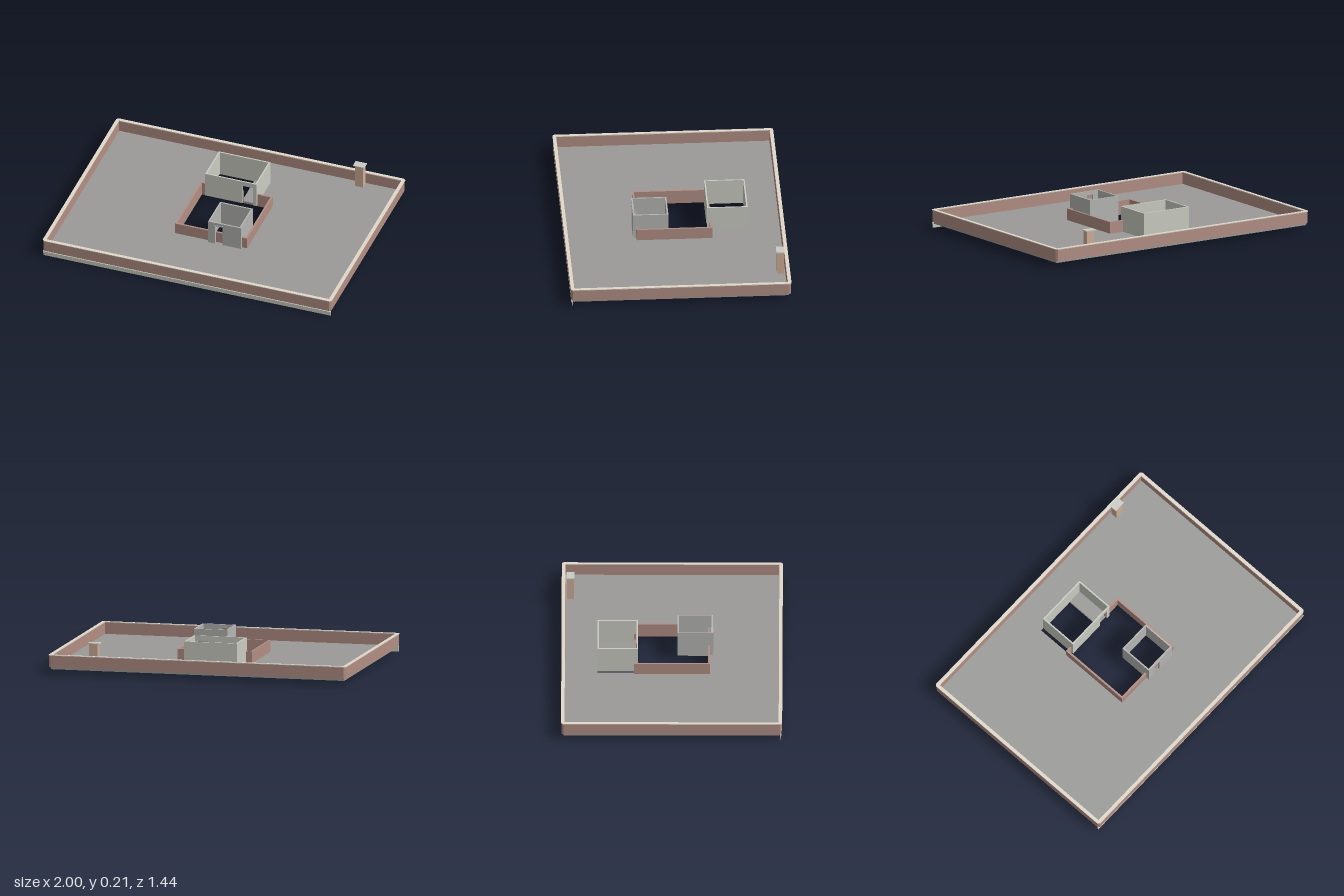
import * as THREE from 'three';

const mat = (color) => new THREE.MeshStandardMaterial({ color, flatShading: true });
const brick = mat(0xb28f84), stone = mat(0xe0d8cb), roofGrey = mat(0x9b9a98);
const paleGreen = mat(0xcbcdc3), grey = mat(0xb6b6b4), tan = mat(0xd0b098);

// Rectangle outline in plan, given as x and z limits, with optional corner cuts
function rect(x0, x1, z0, z1, c = 0) {
  return c
    ? [[x0 + c, z0], [x1 - c, z0], [x1, z0 + c], [x1, z1 - c], [x1 - c, z1], [x0 + c, z1], [x0, z1 - c], [x0, z0 + c]]
    : [[x0, z0], [x1, z0], [x1, z1], [x0, z1]];
}
const toVectors = (pts, s = 1) => pts.map(([a, b]) => new THREE.Vector2(a, s * b));

// Plan outline (x, z) raised from y0 to y1; holes wind against the outline
function slab(name, pts, holes, y0, y1, material) {
  const shape = new THREE.Shape(toVectors(pts, -1));
  for (const h of holes) shape.holes.push(new THREE.Path(toVectors(h, -1).reverse()));
  const geo = new THREE.ExtrudeGeometry(shape, { depth: y1 - y0, bevelEnabled: false });
  geo.rotateX(-Math.PI / 2).translate(0, y0, 0);
  const mesh = new THREE.Mesh(geo, material);
  mesh.name = name;
  return mesh;
}

function box(name, x0, x1, y0, y1, z0, z1, material) {
  const mesh = new THREE.Mesh(new THREE.BoxGeometry(x1 - x0, y1 - y0, z1 - z0), material);
  mesh.position.set((x0 + x1) / 2, (y0 + y1) / 2, (z0 + z1) / 2);
  mesh.name = name;
  return mesh;
}

// Open-topped room: three walls plus a front wall with a doorway notch
function room(name, x0, x1, z0, z1, door, material) {
  const t = 0.01, y0 = 0.035, y1 = 0.208, zf = z1 - t;
  const g = new THREE.Group();
  g.name = name;
  g.add(slab('sideWalls', [[x0, zf], [x0, z0], [x1, z0], [x1, zf],
    [x1 - t, zf], [x1 - t, z0 + t], [x0 + t, z0 + t], [x0 + t, zf]], [], y0, y1, material));
  const shape = new THREE.Shape(toVectors([[x0, y0], [door.x0, y0], [door.x0, door.top],
    [door.x1, door.top], [door.x1, y0], [x1, y0], [x1, y1], [x0, y1]]));
  const front = new THREE.Mesh(new THREE.ExtrudeGeometry(shape, { depth: t, bevelEnabled: false }), material);
  front.position.z = zf;
  front.name = 'doorWall';
  g.add(front);
  return g;
}

export function createModel() {
  const model = new THREE.Group();
  model.name = 'flatRoof';

  // Roof deck with openings for the courtyard, the stair and the flue
  model.add(slab('roofDeck', rect(-0.985, 0.985, -0.703, 0.703), [
    rect(-0.238, 0.238, -0.236, 0.236),
    rect(-0.232, 0.04, -0.485, -0.248),
    rect(0.677, 0.73, -0.683, -0.643),
  ], 0.026, 0.042, roofGrey));

  // Outer parapet and its coping
  model.add(slab('parapet', rect(-0.997, 0.997, -0.717, 0.717, 0.012),
    [rect(-0.975, 0.975, -0.695, 0.695)], 0.04, 0.117, brick));
  model.add(slab('coping', rect(-1, 1, -0.72, 0.72, 0.012),
    [rect(-0.977, 0.977, -0.697, 0.697)], 0.117, 0.122, stone));

  // Courtyard parapet, left open at the stair door
  const [a, b, c, d, t] = [-0.25, 0.249, -0.248, 0.247, 0.013];
  model.add(slab('courtyardParapet', [
    [0.12, c], [b, c], [b, d], [a, d], [a, c], [0.05, c],
    [0.05, c + t], [a + t, c + t], [a + t, d - t], [b - t, d - t], [b - t, c + t], [0.12, c + t],
  ], [], 0.026, 0.119, brick));

  // Rooftop rooms
  model.add(room('stairRoom', -0.21, 0.146, -0.486, -0.221, { x0: 0.05, x1: 0.12, top: 0.175 }, paleGreen));
  const door = { x0: 0.036, x1: 0.087, top: 0.184 };
  const frontRoom = room('frontRoom', -0.014, 0.212, 0.036, 0.267, door, grey);
  const f = 0.006;
  for (const x of [door.x0 - f, door.x1])
    frontRoom.add(box('doorJamb', x, x + f, 0.04, door.top, 0.255, 0.27, grey));
  frontRoom.add(box('doorLintel', door.x0 - f, door.x1 + f, door.top, door.top + f, 0.255, 0.27, grey));
  model.add(frontRoom);

  // Chimney
  model.add(box('chimneyStack', 0.675, 0.732, 0.027, 0.2, -0.685, -0.641, tan));
  model.add(box('chimneyCap', 0.663, 0.741, 0.2, 0.206, -0.69, -0.636, paleGreen));

  // Stepped moulding under the front edge
  const steps = [[0, 0.019, 0.71], [0.019, 0.028, 0.713], [0.028, 0.035, 0.717]];
  for (const [y0, y1, z] of steps)
    model.add(box('frontMoulding', -0.995, 0.994, y0, y1, 0.705, z, paleGreen));

  return model;
}
